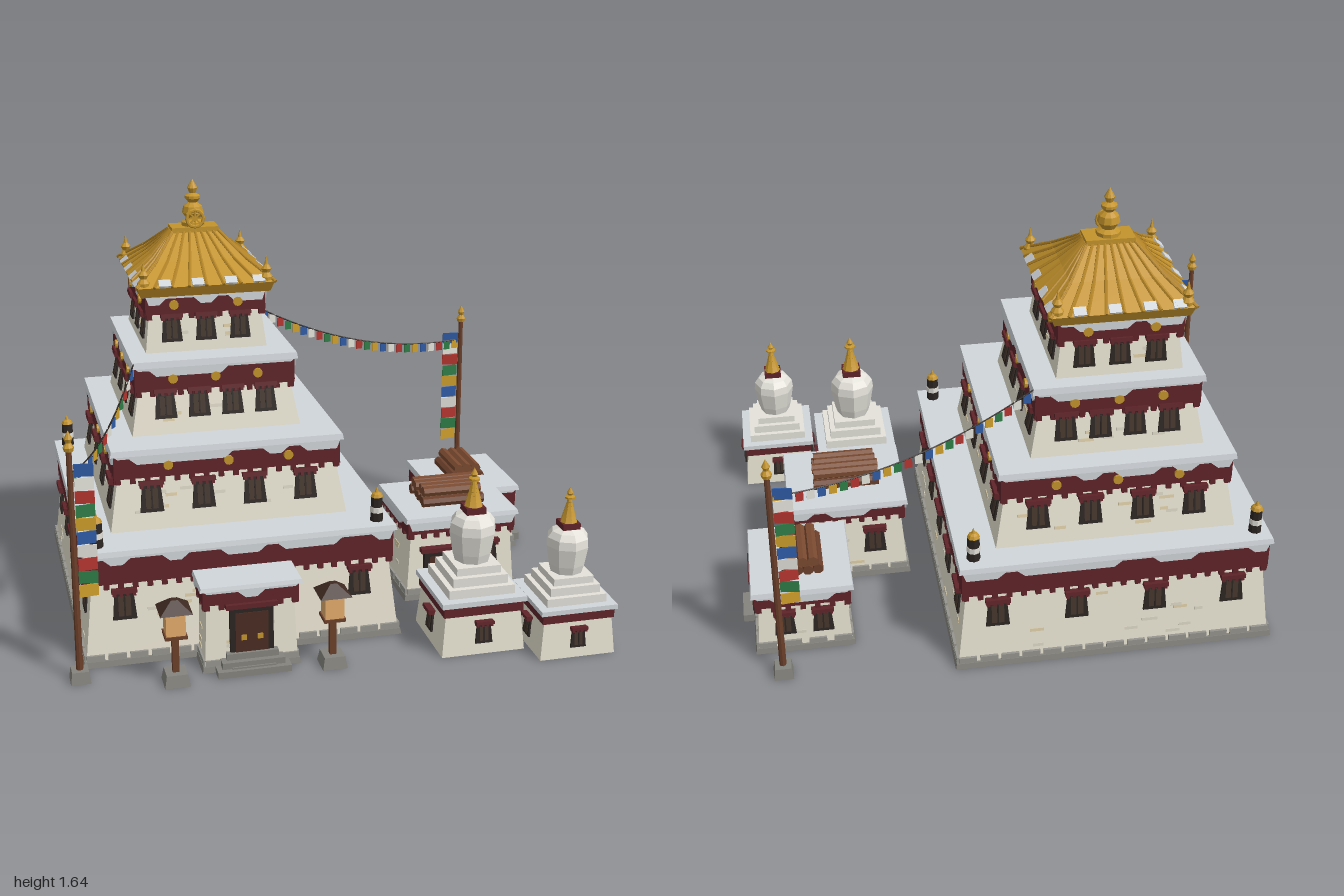
import * as THREE from 'three';

const mats = {};
const mat = (c) => (mats[c] ??= new THREE.MeshStandardMaterial({ color: c, flatShading: true, side: THREE.DoubleSide }));
const WALL = 0xe6e1d0, RED = 0x5f2429, SNOW = 0xd1d6da, GOLD = 0xc4942c, WOOD = 0x6b3f2a,
  DARK = 0x2c2522, STONE = 0x85847e, TAN = 0xd9cba6, WHITE = 0xe4e2da;
const FLAGS = [0x2f5ba5, 0xe4e2da, 0xb5352f, 0x2f7d47, 0xd0a02c];

let seed = 7;
const rand = () => (seed = (seed * 16807) % 2147483647) / 2147483647;

function add(parent, name, geo, color, x = 0, y = 0, z = 0) {
  const m = new THREE.Mesh(geo, mat(color));
  m.name = name;
  m.position.set(x, y, z);
  parent.add(m);
  return m;
}
function group(parent, name, x = 0, y = 0, z = 0) {
  const g = new THREE.Group();
  g.name = name;
  g.position.set(x, y, z);
  parent.add(g);
  return g;
}
const box = (p, name, w, h, d, color, x, y, z) => add(p, name, new THREE.BoxGeometry(w, h, d), color, x, y, z);
const lathe = (p, name, pts, n, color, x, y, z) =>
  add(p, name, new THREE.LatheGeometry(pts.map(([r, h]) => new THREE.Vector2(r, h)), n), color, x, y, z);

// Box from y0 to y1 whose top has its own half sizes
function frustum(p, name, [ax, az], [bx, bz], y0, y1, color) {
  const g = new THREE.BoxGeometry(2, y1 - y0, 2), a = g.attributes.position;
  for (let i = 0; i < a.count; i++) {
    const top = a.getY(i) > 0;
    a.setX(i, a.getX(i) * (top ? bx : ax));
    a.setZ(i, a.getZ(i) * (top ? bz : az));
  }
  g.computeVertexNormals();
  return add(p, name, g, color, 0, (y0 + y1) / 2, 0);
}
// Round bar between two points
function bar(p, name, a, b, r, color) {
  const d = b.clone().sub(a);
  const m = add(p, name, new THREE.CylinderGeometry(r, r, d.length(), 6), color);
  m.position.copy(a).addScaledVector(d, 0.5);
  m.quaternion.setFromUnitVectors(new THREE.Vector3(0, 1, 0), d.normalize());
}
const even = (n, span) => Array.from({ length: n }, (_, i) => (n > 1 ? (i / (n - 1) - 0.5) * 2 * span : 0));

// Tapered window with lintel
function windowUnit(p, x, y, z, lean, s = 1) {
  const g = group(p, 'window', x, y, z);
  g.rotation.x = -lean;
  g.scale.set(s, s, 1);
  frustum(g, 'windowFrame', [0.044, 0.008], [0.034, 0.008], -0.055, 0.05, DARK);
  box(g, 'windowPane', 0.046, 0.075, 0.004, 0x43352b, 0, -0.004, 0.008);
  box(g, 'mullion', 0.006, 0.075, 0.006, DARK, 0, -0.004, 0.009);
  box(g, 'lintel', 0.092, 0.016, 0.034, RED, 0, 0.056, 0.01);
  for (const u of even(4, 0.036)) box(g, 'lintelBlock', 0.012, 0.012, 0.026, RED, u, 0.043, 0.01);
}
function doorUnit(p, x, z, w, h, y) {
  box(p, 'doorFrame', w + 0.04, h + 0.02, 0.03, DARK, x, y + h / 2 + 0.01, z);
  box(p, 'doorLeaf', w, h, 0.036, 0x4a2c22, x, y + h / 2, z);
  box(p, 'doorLintel', w + 0.07, 0.018, 0.05, RED, x, y + h + 0.028, z);
  box(p, 'doorStep', w + 0.04, 0.03, 0.06, STONE, x, 0.015, z + 0.025);
}
// Ragged snow edge hanging over a band
function snowEdge(p, half, y, z) {
  const s = new THREE.Shape(), n = Math.max(4, Math.round(half / 0.035)), w = (2 * half) / n;
  s.moveTo(-half, 0);
  for (let i = 0; i < n; i++) {
    const d = rand() < 0.55 ? 0.012 : 0.036, a = -half + w * i;
    s.lineTo(a + w * 0.2, -d);
    s.lineTo(a + w * 0.8, -d);
  }
  s.lineTo(half, 0);
  add(p, 'snowEdge', new THREE.ExtrudeGeometry(s, { depth: 0.01, bevelEnabled: false }), SNOW, 0, y, z);
}

// Storey: sloping wall, red band, flat snowy roof; heights are [foot, band, bandTop, roofTop]
function storey(root, name, [cx, cz], [hx, hz], taper, [y0, yb, y1, yt], o = {}) {
  const g = group(root, name, cx, 0, cz);
  const tx = hx - taper, tz = hz - taper, bx = tx + 0.016, bz = tz + 0.016;
  frustum(g, 'wall', [hx, hz], [tx, tz], y0, yb + 0.01, WALL);
  frustum(g, 'redBand', [bx, bz], [bx, bz], yb, y1, RED);
  frustum(g, 'flatRoof', [bx + 0.012, bz + 0.012], [bx + 0.008, bz + 0.008], y1, yt, SNOW);
  if (y0 === 0) frustum(g, 'foundation', [hx + 0.01, hz + 0.01], [hx + 0.006, hz + 0.006], 0, 0.022, STONE);
  const lean = Math.atan(taper / (yb - y0));
  for (let k = 0; k < 4; k++) {
    const s = group(g, 'side' + k);
    s.rotation.y = (k * Math.PI) / 2;
    const [L, D, bl, bd] = k % 2 ? [hz, hx, bz, bx] : [hx, hz, bx, bz];
    const face = (h) => D - (taper * (h - y0)) / (yb - y0);
    for (const u of even(Math.round(bl / 0.026), bl - 0.015)) box(s, 'bandBlock', 0.02, 0.02, 0.024, RED, u, yb - 0.01, bd - 0.012);
    snowEdge(s, bl, y1 + 0.002, bd - 0.002);
    for (const u of o.windows?.[k] ?? []) windowUnit(s, u, o.wy, face(o.wy), lean, o.ws);
    for (const u of even(o.medals ?? 0, bl * 0.53)) {
      const m = add(s, 'medallion', new THREE.CylinderGeometry(0.018, 0.018, 0.012, 10), GOLD, u, (yb + y1) / 2, bd + 0.004);
      m.rotation.x = Math.PI / 2;
    }
    // Exposed bricks and foundation stones
    for (let i = 0; i < L * 22; i++) {
      const h = y0 + 0.06 + rand() * (yb - y0 - 0.1);
      const b = box(s, 'brick', 0.03 + rand() * 0.03, 0.012, 0.006, rand() < 0.5 ? TAN : 0xd6d1c0, (rand() * 2 - 1) * (L - 0.1), h, face(h));
      b.rotation.x = -lean;
    }
    if (y0 === 0) for (const u of even(Math.round(L / 0.04), L - 0.036))
      box(s, 'footStone', 0.066, 0.022, 0.012, 0x96958e, u, 0.034, D - 0.001);
  }
  return g;
}

function logPile(root, x, y, z, len, n, turn) {
  const g = group(root, 'logPile', x, y, z);
  g.rotation.y = turn;
  for (let r = 0; r < 2; r++) for (const u of even(n - r, 0.019 * (n - r - 1))) {
    const c = add(g, 'log', new THREE.CylinderGeometry(0.021, 0.021, len * (0.9 + 0.1 * rand()), 7), r ? 0x7a4a30 : WOOD, 0, 0.02 + r * 0.037, u);
    c.rotation.z = Math.PI / 2;
  }
}

function stupa(root, x, z, s) {
  const g = group(root, 'stupa', x, 0, z);
  g.scale.setScalar(s);
  frustum(g, 'plinth', [0.16, 0.16], [0.145, 0.145], 0, 0.16, WALL);
  frustum(g, 'plinthBand', [0.153, 0.153], [0.153, 0.153], 0.155, 0.195, RED);
  [[0.163, 0.195, 0.215], [0.127, 0.215, 0.25], [0.106, 0.25, 0.285], [0.085, 0.285, 0.315]]
    .forEach(([h, a, b], i) => frustum(g, 'step', [h, h], [h, h], a, b, i ? WHITE : SNOW));
  lathe(g, 'dome', [[0.066, 0.315], [0.076, 0.35], [0.09, 0.43], [0.086, 0.465], [0.068, 0.49], [0.03, 0.505], [0, 0.508]], 8, WHITE);
  box(g, 'harmika', 0.075, 0.025, 0.075, RED, 0, 0.515, 0);
  const spire = [];
  for (let i = 0; i < 7; i++) spire.push([0.036 - i * 0.004, 0.527 + i * 0.014], [0.029 - i * 0.0035, 0.54 + i * 0.014]);
  lathe(g, 'spire', [...spire, [0.022, 0.628], [0.022, 0.635], [0.008, 0.64], [0.014, 0.65], [0, 0.675]], 8, GOLD);
  for (let k = 0; k < 4; k++) {
    const q = group(g, 'plinthSide');
    q.rotation.y = (k * Math.PI) / 2;
    windowUnit(q, 0, 0.085, 0.152, 0.09, 0.75);
  }
}

function flagPole(root, x, z, dir) {
  const g = group(root, 'flagPole', x, 0, z);
  frustum(g, 'poleFoot', [0.036, 0.036], [0.03, 0.03], 0, 0.045, STONE);
  add(g, 'pole', new THREE.CylinderGeometry(0.01, 0.013, 0.84, 8), WOOD, 0, 0.46, 0);
  lathe(g, 'poleFinial', [[0.016, 0.87], [0.02, 0.885], [0.009, 0.9], [0.015, 0.915], [0, 0.945]], 8, GOLD);
  for (let i = 0; i < 10; i++) {
    const f = box(g, 'bannerFlag', 0.068, 0.046, 0.004, FLAGS[i % 5], dir * 0.047, 0.797 - i * 0.05, 0);
    f.rotation.y = 0.12 * (i % 2 ? 1 : -1);
  }
}
function flagLine(root, a, b, dip, n) {
  const g = group(root, 'flagLine'), A = new THREE.Vector3(...a), B = new THREE.Vector3(...b);
  const c = new THREE.QuadraticBezierCurve3(A, A.clone().lerp(B, 0.5).setY(dip), B);
  add(g, 'cord', new THREE.TubeGeometry(c, 24, 0.003, 4), DARK);
  for (let i = 0; i < n; i++) {
    const p = c.getPointAt((i + 0.7) / (n + 0.4));
    const f = box(g, 'lineFlag', 0.028, 0.036, 0.003, FLAGS[i % 5], p.x, p.y - 0.02, p.z);
    f.rotation.y = -Math.atan2(B.z - A.z, B.x - A.x);
  }
}

// Gilded hipped roof with ribs, corner finials and pinnacle
function goldRoof(root, x, z) {
  const g = group(root, 'goldRoof', x, 0, z);
  const rings = [[0.262, 0.28, 1.288], [0.17, 0.165, 1.36], [0.088, 0.045, 1.445]];
  frustum(g, 'eave', [0.245, 0.265], [0.258, 0.278], 1.25, 1.288, 0xa87c22);
  for (let i = 0; i < 2; i++) frustum(g, 'roofSlope', rings[i], rings[i + 1], rings[i][2], rings[i + 1][2], GOLD);
  for (let k = 0; k < 4; k++) {
    const s = group(g, 'roofSide');
    s.rotation.y = (k * Math.PI) / 2;
    const pts = (u) => rings.map(([rx, rz, h]) => (k % 2 ? new THREE.Vector3(u * rz, h, rx) : new THREE.Vector3(u * rx, h, rz)));
    for (const u of even(9, 1)) {
      const [a, b, c] = pts(u);
      bar(s, 'rib', a, b, 0.007, 0xb28325);
      bar(s, 'rib', b, c, 0.006, 0xb28325);
    }
    // Snow lying on the lower slope
    for (const u of [-0.62, -0.12, 0.38, 0.8]) {
      const [a, b] = pts(u), m = a.clone().lerp(b, 0.13);
      const p = box(s, 'roofSnow', 0.045, 0.01, 0.035, SNOW, m.x, m.y + 0.002, m.z);
      p.rotation.x = Math.atan2(b.y - a.y, a.z - b.z);
    }
  }
  for (const sx of [-1, 1]) for (const sz of [-1, 1])
    lathe(g, 'cornerFinial', [[0.022, 0], [0.024, 0.02], [0.012, 0.035], [0.02, 0.05], [0.008, 0.065], [0, 0.1]], 8, GOLD, sx * 0.232, 1.285, sz * 0.253);
  box(g, 'ridge', 0.18, 0.022, 0.1, GOLD, 0, 1.45, 0);
  lathe(g, 'pinnacle', [[0.045, 1.455], [0.045, 1.475], [0.025, 1.485], [0.042, 1.51], [0.036, 1.535], [0.017, 1.55], [0.03, 1.565], [0.03, 1.575], [0.012, 1.585], [0.02, 1.605], [0, 1.64]], 10, GOLD);
  add(g, 'wheel', new THREE.TorusGeometry(0.032, 0.007, 6, 12), GOLD, 0, 1.495, 0.05);
  for (let i = 0; i < 4; i++) box(g, 'wheelSpoke', 0.06, 0.006, 0.006, GOLD, 0, 1.495, 0.05).rotation.z = (i * Math.PI) / 4;
}

// Lantern on a post
function lantern(root, x, z) {
  const g = group(root, 'lantern', x, 0, z);
  frustum(g, 'lanternFoot', [0.046, 0.046], [0.038, 0.038], 0, 0.045, STONE);
  box(g, 'lanternPost', 0.024, 0.15, 0.024, WOOD, 0, 0.115, 0);
  box(g, 'lanternTray', 0.08, 0.012, 0.08, WOOD, 0, 0.19, 0);
  box(g, 'lanternGlow', 0.07, 0.095, 0.07, 0xe3ac6c, 0, 0.24, 0);
  frustum(g, 'lanternRoof', [0.058, 0.058], [0.012, 0.012], 0.285, 0.325, 0x3f2a22);
}

export function createModel() {
  const root = new THREE.Group();
  root.name = 'mountainMonastery';
  const w = (n, a, m, b) => [even(n, a), even(m, b), even(n, a), even(m, b)];

  // Main tower
  const low = w(4, 0.44, 5, 0.485);
  low[0] = [-0.44, 0.44];
  storey(root, 'groundStorey', [-0.34, -0.175], [0.59, 0.63], 0.036, [0, 0.31, 0.42, 0.44], { windows: low, wy: 0.225 });
  storey(root, 'secondStorey', [-0.355, -0.207], [0.448, 0.482], 0.038, [0.43, 0.638, 0.728, 0.75], { windows: w(4, 0.29, 4, 0.36), wy: 0.56, medals: 3 });
  storey(root, 'thirdStorey', [-0.37, -0.238], [0.322, 0.352], 0.035, [0.74, 0.915, 1.008, 1.032], { windows: w(4, 0.19, 4, 0.245), wy: 0.86, ws: 0.95, medals: 3 });
  storey(root, 'topStorey', [-0.382, -0.265], [0.232, 0.254], 0.02, [1.025, 1.178, 1.25, 1.26], { windows: w(3, 0.13, 3, 0.145), wy: 1.12, ws: 0.9, medals: 2 });
  goldRoof(root, -0.382, -0.262);
  for (const x of [-0.866, 0.18]) for (const z of [-0.73, 0.38]) {
    const u = group(root, 'terraceUrn', x, 0.435, z);
    add(u, 'urnBody', new THREE.CylinderGeometry(0.022, 0.025, 0.1, 8), DARK, 0, 0.05, 0);
    add(u, 'urnRing', new THREE.CylinderGeometry(0.025, 0.025, 0.022, 8), WHITE, 0, 0.05, 0);
    lathe(u, 'urnTip', [[0.024, 0.1], [0.018, 0.112], [0.008, 0.118], [0, 0.14]], 8, GOLD);
  }

  // Entrance porch, steps and lanterns
  const porch = storey(root, 'porch', [-0.345, 0.49], [0.172, 0.1], 0.012, [0, 0.262, 0.32, 0.335]);
  doorUnit(porch, 0, 0.094, 0.12, 0.16, 0.065);
  for (const x of [-0.03, 0.03]) box(porch, 'doorPlate', 0.02, 0.02, 0.01, GOLD, x, 0.13, 0.111);
  for (let i = 0; i < 3; i++) box(porch, 'porchStep', 0.27 - i * 0.04, 0.024, 0.115 - i * 0.02, STONE, 0, 0.012 + i * 0.024, 0.105 - i * 0.01);
  for (const x of [-0.63, -0.055]) lantern(root, x, 0.635);

  // Outbuildings with firewood
  const a = storey(root, 'largeOutbuilding', [0.59, -0.005], [0.225, 0.195], 0.02, [0, 0.275, 0.327, 0.345], { windows: [[0.11], [-0.08, 0.09], [-0.1, 0.1], []], wy: 0.165 });
  doorUnit(a, -0.09, 0.188, 0.09, 0.15, 0.03);
  logPile(root, 0.585, 0.345, 0.003, 0.26, 5, 0);
  const b = storey(root, 'smallOutbuilding', [0.795, -0.41], [0.176, 0.192], 0.015, [0, 0.205, 0.26, 0.28], { windows: [[], [], [-0.07, 0.07], []], wy: 0.125, ws: 0.9 });
  const side = group(b, 'doorSide');
  side.rotation.y = Math.PI / 2;
  doorUnit(side, -0.065, 0.17, 0.1, 0.14, 0.03);
  logPile(root, 0.785, 0.28, -0.415, 0.22, 4, Math.PI / 2);

  // Stupas
  stupa(root, 0.507, 0.53, 1);
  stupa(root, 0.835, 0.65, 0.91);

  // Prayer flags
  flagPole(root, -0.96, 0.54, 1);
  flagPole(root, 0.885, -0.73, -1);
  flagLine(root, [-0.675, 1.03, 0.1], [-0.96, 0.79, 0.54], 0.76, 14);
  flagLine(root, [-0.06, 1.03, -0.575], [0.885, 0.79, -0.73], 0.76, 25);
  return root;
}
